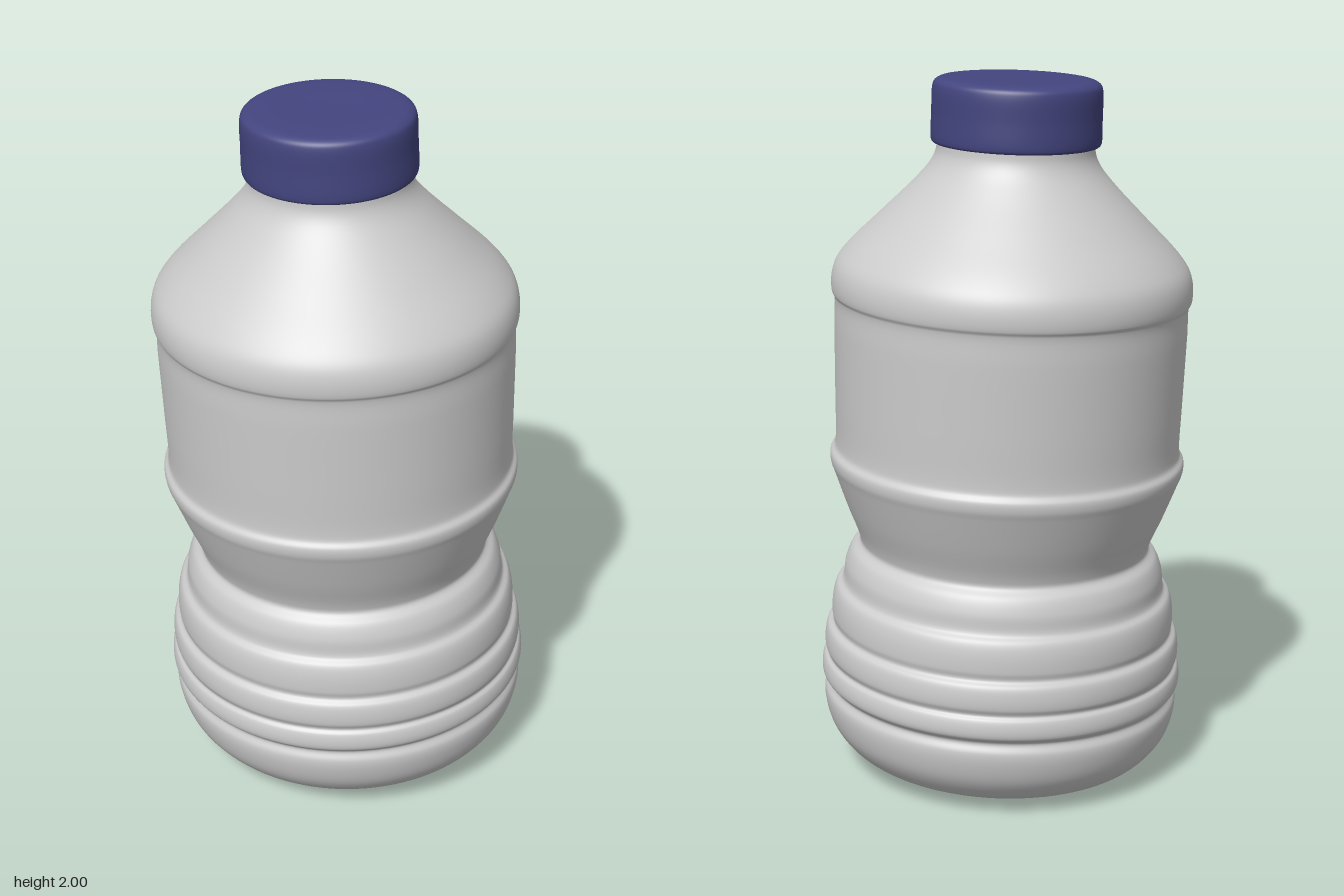
import * as THREE from 'three';

// Revolves a smooth curve through [radius, height] points, listed bottom to top
function turned(name, points, color, samples) {
  const curve = new THREE.CatmullRomCurve3(
    points.map(([r, y]) => new THREE.Vector3(r, y, 0)), false, 'centripetal');
  const profile = [];
  for (let i = 0; i <= samples; i++) {
    const p = curve.getPoint(i / samples);
    profile.push(new THREE.Vector2(Math.max(p.x, 0), p.y));
  }
  const mesh = new THREE.Mesh(
    new THREE.LatheGeometry(profile, 96),
    new THREE.MeshStandardMaterial({ color, side: THREE.DoubleSide }));
  mesh.name = name;
  return mesh;
}

export function createModel() {
  const group = new THREE.Group();
  group.name = 'bottle';

  const bodyProfile = [
    // base with a shallow round recess
    [0, 0.026], [0.17, 0.026], [0.2, 0.017], [0.24, 0.011], [0.33, 0.022],
    [0.4, 0.036], [0.45, 0.063], [0.497, 0.12], [0.517, 0.18], [0.519, 0.22],
    // stacked ribs
    [0.508, 0.247], [0.525, 0.268], [0.528, 0.29], [0.522, 0.318],
    [0.512, 0.33], [0.519, 0.35], [0.519, 0.385], [0.512, 0.412],
    [0.497, 0.427], [0.5, 0.45], [0.497, 0.5], [0.487, 0.532],
    [0.469, 0.55], [0.462, 0.6], [0.445, 0.642], [0.421, 0.667],
    // waist and bead
    [0.424, 0.69], [0.46, 0.78], [0.498, 0.882], [0.508, 0.91],
    [0.508, 0.935], [0.497, 0.952], [0.494, 0.97],
    // label panel
    [0.496, 1.1], [0.5, 1.3], [0.501, 1.385],
    // shoulder and neck
    [0.508, 1.4], [0.509, 1.44], [0.498, 1.48], [0.468, 1.522],
    [0.38, 1.61], [0.285, 1.705], [0.24, 1.758], [0.224, 1.79],
    [0.22, 1.82], [0.22, 1.9],
  ];
  const capProfile = [
    [0.2, 1.819], [0.226, 1.817], [0.233, 1.819], [0.237, 1.826], [0.237, 1.9],
    [0.236, 1.965], [0.231, 1.982], [0.219, 1.991], [0.2, 1.995], [0, 1.996],
  ];
  group.add(
    turned('bottleBody', bodyProfile, 0xcccccc, 270),
    turned('screwCap', capProfile, 0x43457f, 72));

  // slightly oval section, and a slight lean of the whole bottle
  for (const part of group.children) part.scale.z = 0.972;
  group.rotation.set(0.008, 0, 0.029);
  group.position.set(0.014, 0, 0);
  return group;
}
